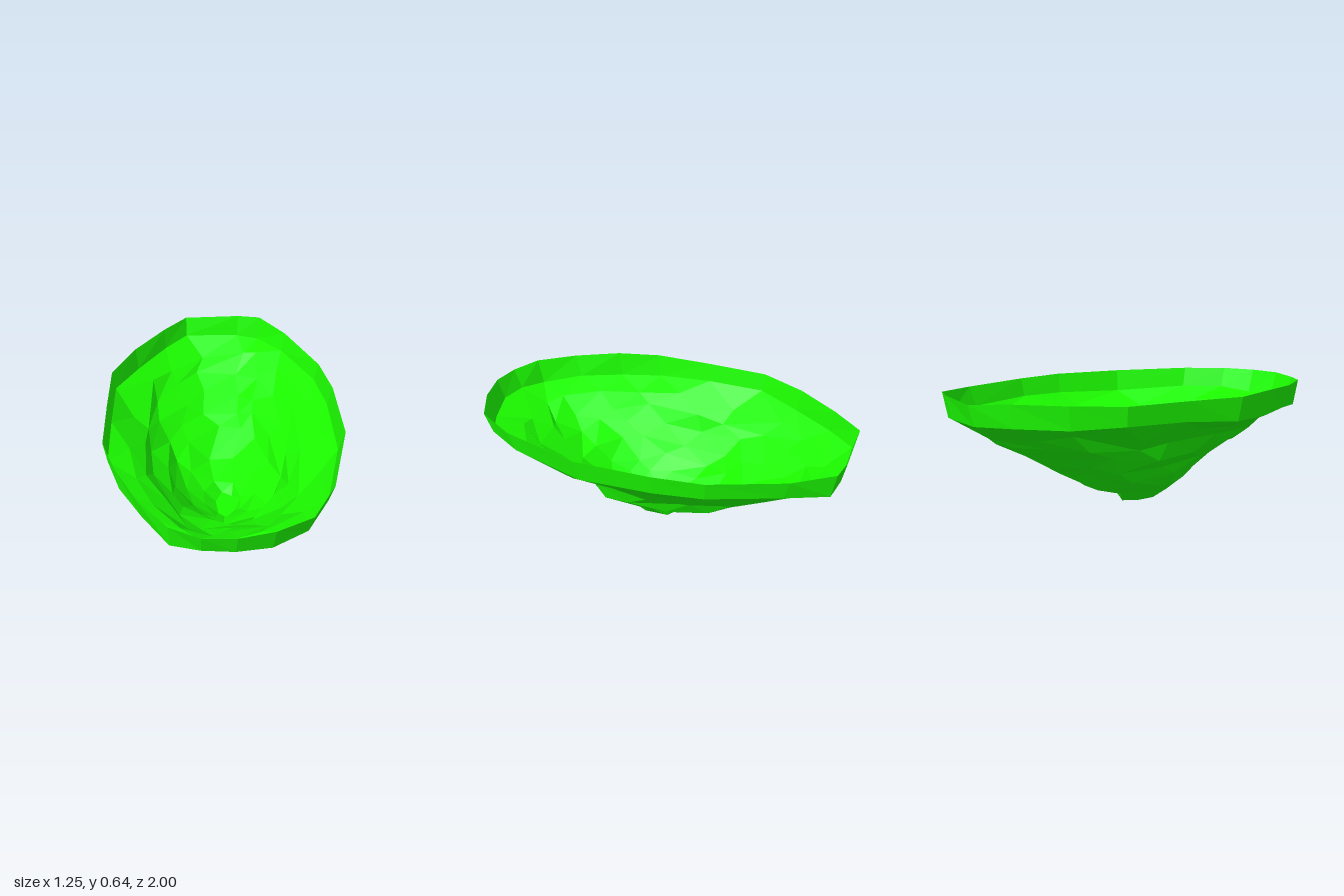
import * as THREE from 'three';

// Rim outline seen from above, as [x, z]
const RIM = [
  [-0.25, -0.975], [0.07, -1], [0.2, -0.985], [0.35, -0.8], [0.53, -0.45], [0.59, -0.2], [0.625, 0.2],
  [0.54, 0.63], [0.43, 0.85], [0.26, 0.95], [0.09, 1], [-0.07, 0.995], [-0.22, 0.93], [-0.37, 0.76],
  [-0.5, 0.54], [-0.59, 0.32], [-0.61, 0], [-0.625, -0.33], [-0.52, -0.58], [-0.37, -0.81],
];

// Rings from rim to foot: height, x range, z range, number of corners,
// inward roughness (share of radius), vertical roughness
const RINGS = [
  [0.635, -0.625, 0.625, -1, 1, 20, 0, 0.012],
  [0.515, -0.615, 0.605, -0.98, 0.97, 20, 0.015, 0.04],
  [0.45, -0.52, 0.54, -0.89, 0.83, 18, 0.05, 0.045],
  [0.39, -0.45, 0.455, -0.79, 0.715, 18, 0.07, 0.05],
  [0.325, -0.41, 0.39, -0.66, 0.655, 16, 0.09, 0.055],
  [0.255, -0.33, 0.345, -0.55, 0.52, 14, 0.1, 0.055],
  [0.185, -0.275, 0.295, -0.45, 0.41, 12, 0.1, 0.05],
  [0.11, -0.205, 0.19, -0.28, 0.33, 10, 0.08, 0.04],
  [0.05, -0.11, 0.11, -0.12, 0.21, 8, 0.04, 0.015],
  [0.0, -0.04, 0.07, -0.07, 0.15, 6, 0, 0],
];

function seeded(seed) {
  return () => {
    seed = (seed * 16807) % 2147483647;
    return seed / 2147483647;
  };
}

// Point on the rim outline at fraction t, scaled to -1..1 in x and z
function outline(t) {
  const f = (t % 1) * RIM.length;
  const i = Math.floor(f);
  const a = RIM[i % RIM.length], b = RIM[(i + 1) % RIM.length], k = f - i;
  return [(a[0] + (b[0] - a[0]) * k) / 0.625, a[1] + (b[1] - a[1]) * k];
}

function bowlGeometry() {
  const random = seeded(71);
  const positions = [], index = [], starts = [];

  // Roughened cross-sections
  RINGS.forEach(([y, x0, x1, z0, z1, n, inward, vertical]) => {
    starts.push(positions.length / 3);
    for (let i = 0; i < n; i++) {
      const slide = inward > 0.02 ? (random() - 0.5) * 0.6 / n : 0;
      const [u, v] = outline(1 + i / n + slide);
      const shrink = 1 - random() * inward;
      positions.push(
        (x0 + x1) / 2 + u * shrink * (x1 - x0) / 2,
        y + (random() - 0.5) * vertical,
        (z0 + z1) / 2 + v * shrink * (z1 - z0) / 2,
      );
    }
  });

  // Stitch neighbouring rings, even where their corner counts differ
  for (let r = 0; r < RINGS.length - 1; r++) {
    const n = RINGS[r][5], m = RINGS[r + 1][5];
    const upper = (i) => starts[r] + (i % n);
    const lower = (j) => starts[r + 1] + (j % m);
    let i = 0, j = 0;
    while (i < n || j < m) {
      if (j >= m || (i < n && (i + 0.5) / n <= (j + 0.5) / m)) {
        index.push(upper(i), upper(i + 1), lower(j));
        i++;
      } else {
        index.push(upper(i), lower(j + 1), lower(j));
        j++;
      }
    }
  }

  // Small flat foot
  const foot = starts[RINGS.length - 1];
  for (let i = 1; i < 5; i++) index.push(foot, foot + i, foot + i + 1);

  const geometry = new THREE.BufferGeometry();
  geometry.setAttribute('position', new THREE.Float32BufferAttribute(positions, 3));
  geometry.setIndex(index);
  const flat = geometry.toNonIndexed();
  flat.computeVertexNormals();
  return flat;
}

export function createModel() {
  const group = new THREE.Group();
  group.name = 'craggyBowl';

  // Thin open shell, visible inside and out
  const material = new THREE.MeshStandardMaterial({
    color: 0x1cff00, flatShading: true, side: THREE.DoubleSide,
  });
  const shell = new THREE.Mesh(bowlGeometry(), material);
  shell.name = 'bowlShell';
  group.add(shell);
  return group;
}
